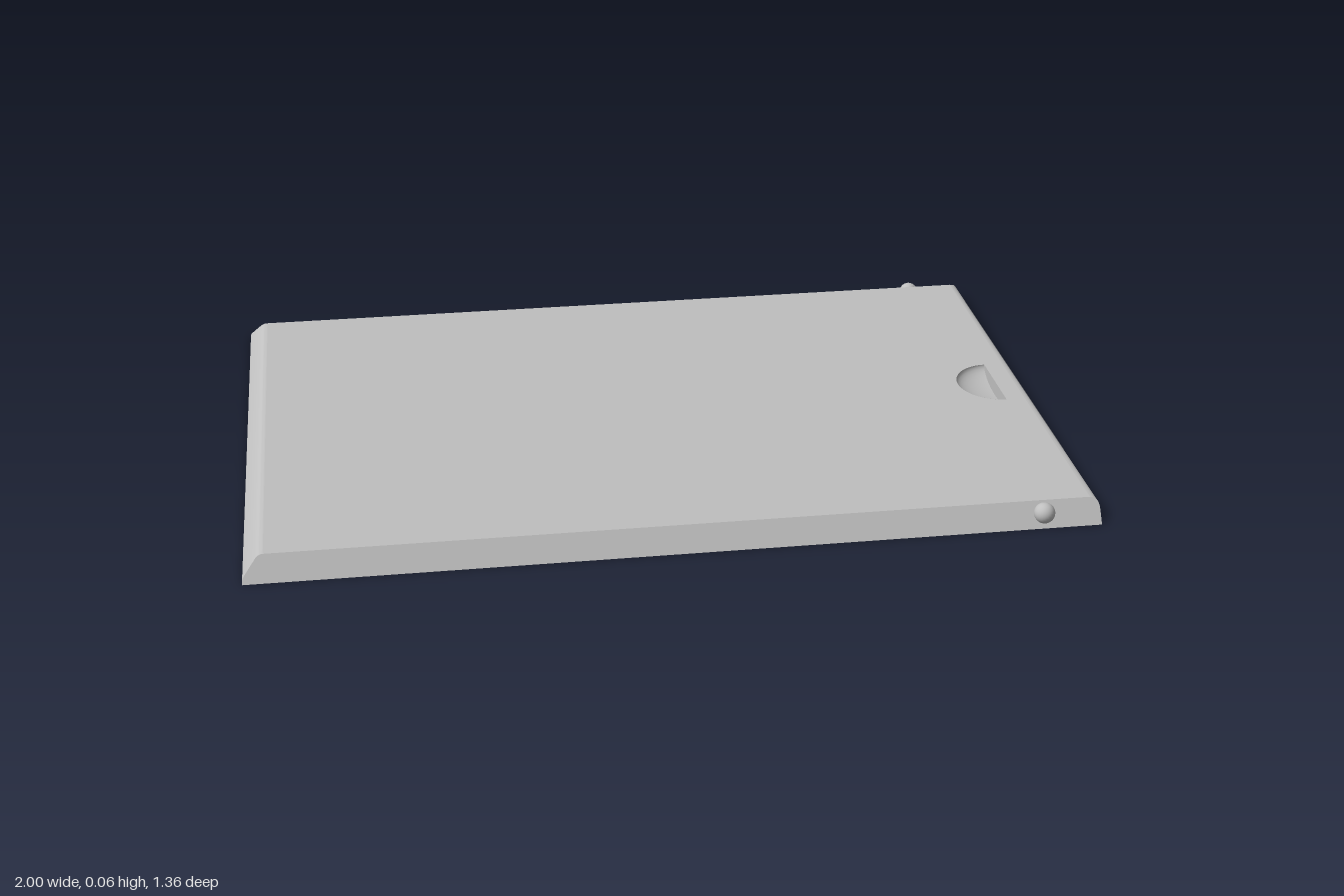
import * as THREE from 'three';
import { toCreasedNormals } from 'three/addons/utils/BufferGeometryUtils.js';

const H = 0.055;                               // lid thickness
const halfWidth = y => 0.675 - 0.71 * y;       // long sides lean inwards
const TOP = { x0: -0.95, x1: 0.978 };
const FIELD = { x: 0.77, z: 0.45 };            // honeycomb area
const DEPTH = 0.035;                           // honeycomb depth
const V = (x, y) => new THREE.Vector2(x, y);

// Keeps the part of a convex polygon where dir * p[axis] <= limit
function clip(points, axis, dir, limit) {
  const out = [];
  points.forEach((a, i) => {
    const b = points[(i + 1) % points.length];
    const da = dir * a[axis] - limit, db = dir * b[axis] - limit;
    if (da <= 0) out.push(a);
    if (da * db < 0) out.push(a.clone().lerp(b, da / (da - db)));
  });
  return out;
}

// Staggered hexagon cells, cut off at the edges of the field
function honeycomb() {
  const step = 0.16, radius = 0.073, cells = [];
  for (let row = -4; row <= 4; row++) {
    for (let col = -6; col <= 6; col++) {
      const cx = (col + (row % 2 ? 0.5 : 0)) * step, cz = row * step * 0.866;
      let p = [];
      for (let i = 0; i < 6; i++) {
        const a = Math.PI / 6 + i * Math.PI / 3;
        p.push(V(cx + radius * Math.cos(a), cz + radius * Math.sin(a)));
      }
      for (const dir of [1, -1]) {
        p = clip(p, 'x', dir, FIELD.x);
        p = clip(p, 'y', dir, FIELD.z);
      }
      if (p.length > 2 && THREE.ShapeUtils.area(p) > 0.0003) cells.push(p);
    }
  }
  return cells;
}

// Rim: side profile extruded across, sides leaned in, flat top and bottom removed
function rimGeometry() {
  const s = new THREE.Shape();
  s.moveTo(-1, 0);
  s.lineTo(1, 0);
  s.lineTo(1, 0.03);
  s.quadraticCurveTo(1, H, TOP.x1, H);
  s.lineTo(TOP.x0, H);
  s.quadraticCurveTo(-0.962, H, -0.97, 0.045);
  s.lineTo(-0.995, 0.016);
  s.quadraticCurveTo(-1, 0.01, -1, 0);
  const g = new THREE.ExtrudeGeometry(s, { depth: 1, bevelEnabled: false, curveSegments: 6 });
  const p = g.attributes.position, kept = [];
  for (let i = 0; i < p.count; i += 3) {
    const ys = [0, 1, 2].map(k => p.getY(i + k));
    if ([0, H].some(level => ys.every(y => Math.abs(y - level) < 1e-5))) continue;
    for (let k = 0; k < 3; k++) {
      kept.push(p.getX(i + k), ys[k], (p.getZ(i + k) > 0.5 ? 1 : -1) * halfWidth(ys[k]));
    }
  }
  const rim = new THREE.BufferGeometry();
  rim.setAttribute('position', new THREE.Float32BufferAttribute(kept, 3));
  return toCreasedNormals(rim, 0.6);
}

// Inward-facing walls of all cells
function cellWalls(cells) {
  const pos = [];
  for (const c of cells) c.forEach((a, i) => {
    const b = c[(i + 1) % c.length];
    pos.push(a.x, 0, a.y, b.x, 0, b.y, b.x, DEPTH, b.y);
    pos.push(a.x, 0, a.y, b.x, DEPTH, b.y, a.x, DEPTH, a.y);
  });
  const g = new THREE.BufferGeometry();
  g.setAttribute('position', new THREE.Float32BufferAttribute(pos, 3));
  g.computeVertexNormals();
  return g;
}

const rectangle = (x0, x1, z) => new THREE.Shape([V(x0, -z), V(x1, -z), V(x1, z), V(x0, z)]);

export function createModel() {
  const group = new THREE.Group();
  const grey = new THREE.MeshStandardMaterial({ color: 0xbfbfbf, side: THREE.DoubleSide });
  grey.name = 'light grey';
  const add = (name, geometry, x = 0, y = 0, z = 0) => {
    const m = new THREE.Mesh(geometry, grey);
    m.name = name;
    m.position.set(x, y, z);
    group.add(m);
    return m;
  };

  add('rim', rimGeometry());

  // Top face with the half-round thumb notch
  const notch = { x: 0.93, rx: 0.1, rz: 0.105, depth: 0.036 };
  const top = rectangle(TOP.x0, TOP.x1, halfWidth(H));
  const hole = new THREE.Path();
  hole.absellipse(notch.x, 0, notch.rx, notch.rz, Math.PI / 2, Math.PI * 1.5);
  hole.closePath();
  top.holes.push(hole);
  add('topFace', new THREE.ShapeGeometry(top, 24).rotateX(-Math.PI / 2), 0, H, 0);

  const scoop = new THREE.SphereGeometry(1, 24, 10, -Math.PI / 2, Math.PI, Math.PI / 2, Math.PI / 2);
  scoop.scale(notch.rx, notch.depth, notch.rz);
  add('thumbScoop', scoop, notch.x, H, 0);

  const wall = new THREE.Shape();
  wall.absellipse(0, 0, notch.rz, notch.depth, Math.PI, Math.PI * 2);
  add('thumbWall', new THREE.ShapeGeometry(wall, 20).rotateY(-Math.PI / 2), notch.x, H, 0);

  // Underside with honeycomb pockets
  const cells = honeycomb();
  const bottom = rectangle(-1, 1, halfWidth(0));
  bottom.holes = cells.map(c => new THREE.Path(c));
  add('underside', new THREE.ShapeGeometry(bottom).rotateX(Math.PI / 2));
  add('honeycombWalls', cellWalls(cells));
  const floors = cells.map(c => new THREE.Shape(c));
  add('honeycombFloors', new THREE.ShapeGeometry(floors).rotateX(Math.PI / 2), 0, DEPTH, 0);

  // Locking bumps on the long sides
  for (const side of [1, -1]) {
    add(side > 0 ? 'frontBump' : 'backBump', new THREE.SphereGeometry(0.025, 24, 16), 0.863, 0.032, side * 0.657);
  }
  return group;
}
